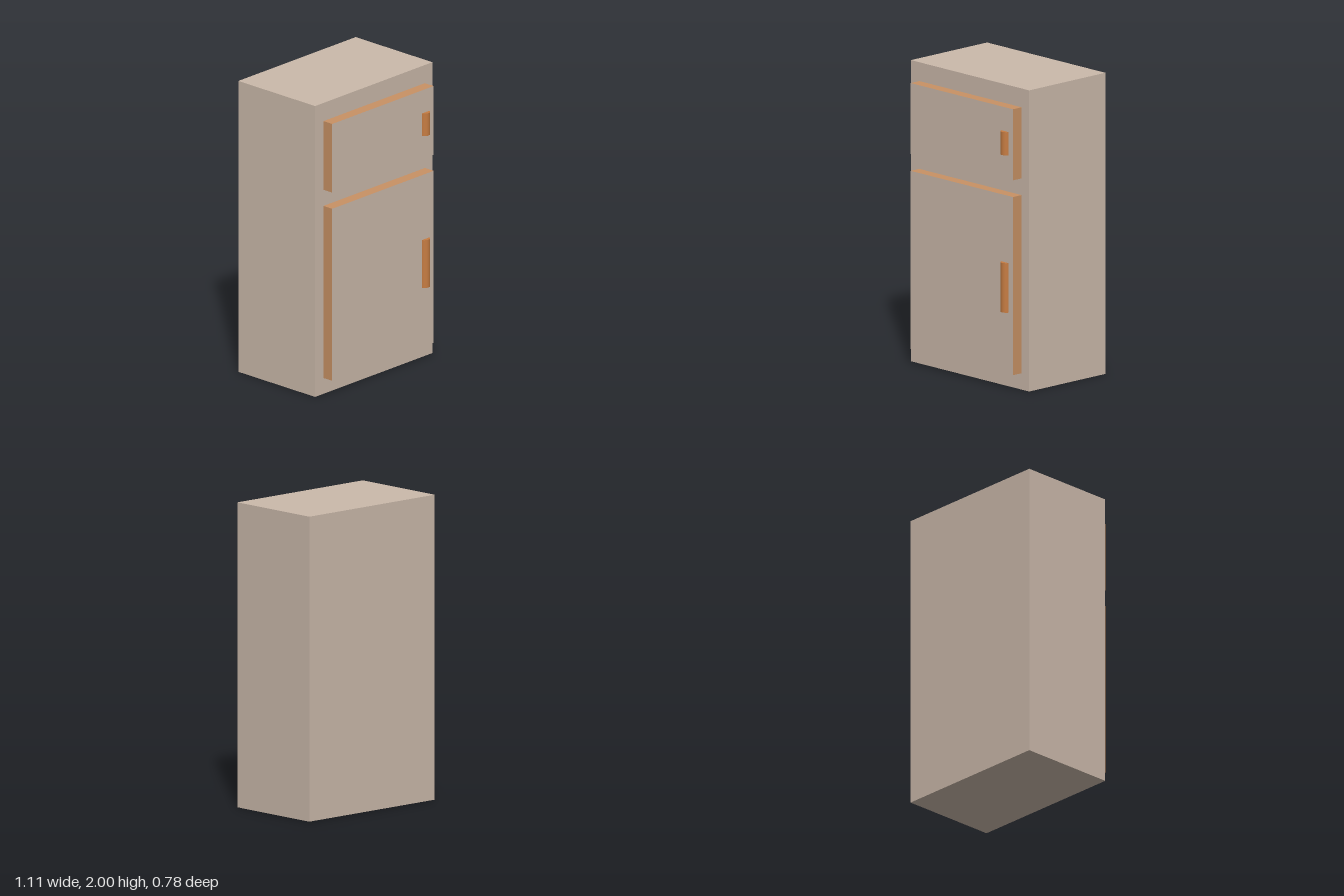
import * as THREE from 'three';

export function createModel() {
  const model = new THREE.Group();
  model.name = 'refrigerator';

  const material = (name, color) => {
    const m = new THREE.MeshStandardMaterial({ color });
    m.name = name;
    return m;
  };
  const beige = material('beige', 0xcbb9aa);
  const tan = material('tan', 0xc89164);
  const copper = material('copper', 0xc67c42);

  const add = (name, geometry, mat, x, y, z) => {
    const mesh = new THREE.Mesh(geometry, mat);
    mesh.name = name;
    mesh.position.set(x, y, z);
    model.add(mesh);
  };

  const back = -0.39, bodyFront = 0.287, doorFront = 0.364;

  // Cabinet
  add('cabinet', new THREE.BoxGeometry(1.106, 2, bodyFront - back), beige, 0, 1, (bodyFront + back) / 2);

  // Doors: tan edges with a beige front panel, each with a half-sunk round handle
  const doors = [
    { name: 'freezer', bottom: 1.403, top: 1.875, grip: [1.562, 1.716] },
    { name: 'fridge', bottom: 0.109, top: 1.292, grip: [0.517, 0.846] },
  ];
  const doorMaterials = [tan, tan, tan, tan, beige, tan];
  for (const { name, bottom, top, grip } of doors) {
    add(name + 'Door', new THREE.BoxGeometry(0.957, top - bottom, doorFront - bodyFront),
      doorMaterials, 0.004, (top + bottom) / 2, (doorFront + bodyFront) / 2);
    add(name + 'Handle', new THREE.CylinderGeometry(0.037, 0.037, grip[1] - grip[0], 32),
      copper, 0.407, (grip[0] + grip[1]) / 2, 0.353);
  }
  return model;
}
